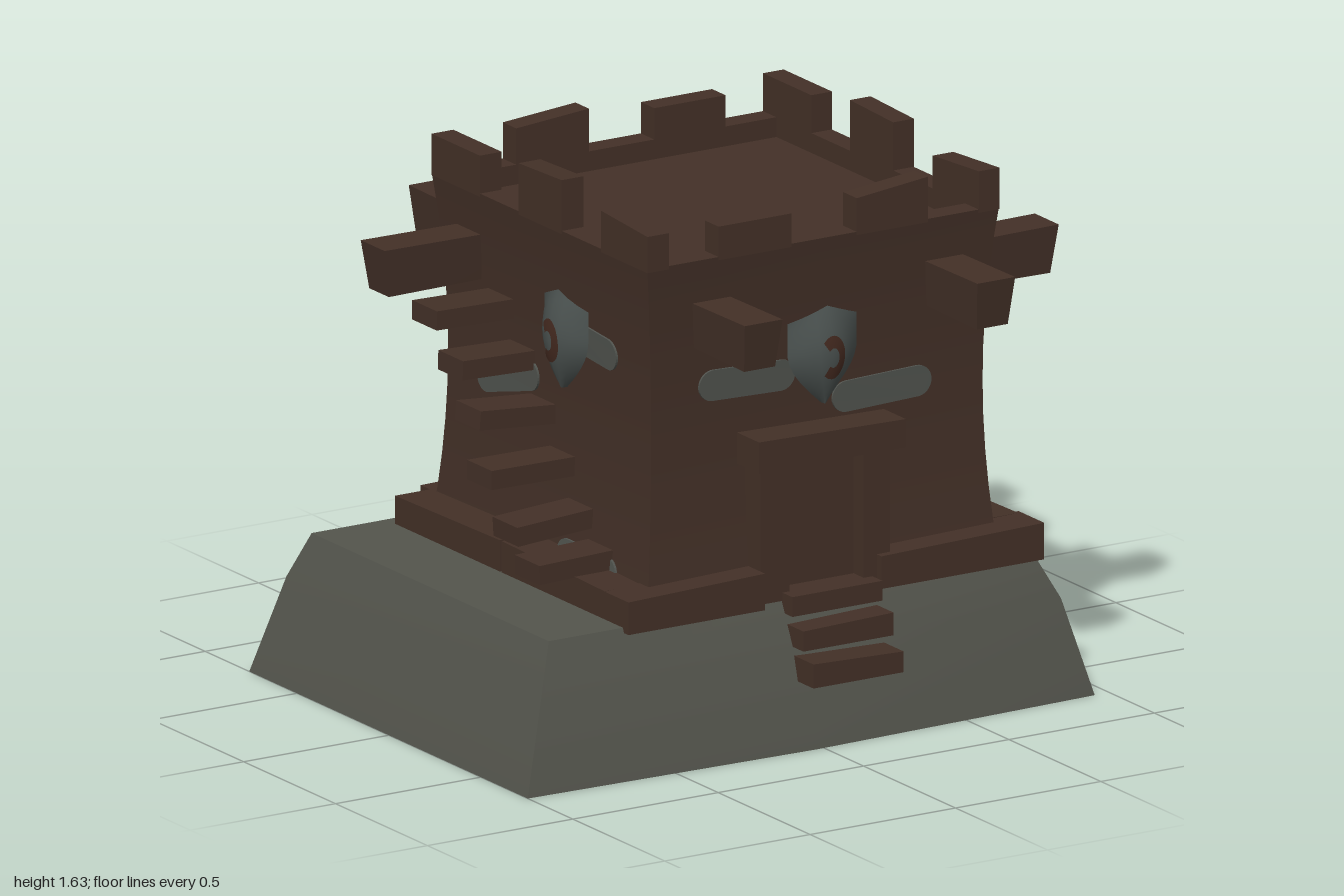
import * as THREE from 'three';
import { toCreasedNormals } from 'three/addons/utils/BufferGeometryUtils.js';

const mat = (name, color, side = THREE.FrontSide) => {
  const m = new THREE.MeshStandardMaterial({ color, side });
  m.name = name;
  return m;
};

export function createModel() {
  const model = new THREE.Group();
  model.name = 'castleTower';
  const stone = mat('stone', 0x53544c, THREE.DoubleSide);
  const wood = mat('brown', 0x433027);
  const plaster = mat('patchGrey', 0x50534e);
  const steel = mat('shieldGrey', 0x4b5250, THREE.DoubleSide);
  const rust = mat('emblemBrown', 0x43291f, THREE.DoubleSide);

  const add = (parent, name, geo, material) => {
    const m = new THREE.Mesh(geo, material);
    m.name = name;
    parent.add(m);
    return m;
  };

  // Move every vertex of a geometry by a rule
  const warp = (geo, rule) => {
    const p = geo.attributes.position;
    const v = new THREE.Vector3();
    for (let i = 0; i < p.count; i++) {
      rule(v.fromBufferAttribute(p, i));
      p.setXYZ(i, v.x, v.y, v.z);
    }
    geo.computeVertexNormals();
    return geo;
  };

  // Rectangular rings [y, x0, x1, z0, z1, bulge] joined into walls, last one capped
  const loft = (rings) => {
    const loops = rings.map(([y, x0, x1, z0, z1, b = 0]) => {
      const xm = (x0 + x1) / 2;
      return [[x0, y, z1], [xm, y, z1 + b], [x1, y, z1], [x1, y, z0], [xm, y, z0 - b], [x0, y, z0]];
    });
    const out = [];
    for (let i = 0; i + 1 < loops.length; i++) {
      for (let j = 0; j < 6; j++) {
        const k = (j + 1) % 6;
        const [a, b, c, d] = [loops[i][j], loops[i][k], loops[i + 1][k], loops[i + 1][j]];
        out.push(...a, ...b, ...c, ...a, ...c, ...d);
      }
    }
    const t = loops[loops.length - 1];
    for (let j = 1; j < 5; j++) out.push(...t[0], ...t[j], ...t[j + 1]);
    const g = new THREE.BufferGeometry();
    g.setAttribute('position', new THREE.Float32BufferAttribute(out, 3));
    return toCreasedNormals(g, 0.5);
  };

  // Box given by its limits, with a top that can slope along x or z
  const block = (name, [x0, x1], [y0, y1], [z0, z1], sx = 0, sz = 0) => {
    const g = new THREE.BoxGeometry(x1 - x0, y1 - y0, z1 - z0);
    warp(g, (v) => { if (v.y > 0) v.y += sx * Math.sign(v.x) + sz * Math.sign(v.z); });
    g.translate((x0 + x1) / 2, (y0 + y1) / 2, (z0 + z1) / 2);
    return add(model, name, toCreasedNormals(g, 0.3), wood);
  };

  // Hollow stone mound, open underneath
  add(model, 'stoneBase', loft([
    [0, -1, 0.95, -0.76, 0.755, 0.03],
    [0.29, -0.91, 0.875, -0.7, 0.69, 0.015],
    [0.425, -0.855, 0.81, -0.65, 0.64, 0],
  ]), stone);

  // Tower walls curve inwards at the waist; parapet and sunken roof floor
  const flare = (y) => 0.035 * ((y - 0.95) / 0.53) ** 2;
  const rings = [];
  for (let i = 0; i <= 10; i++) {
    const y = 0.42 + 0.106 * i;
    const f = flare(y);
    rings.push([y, -0.45 - f, 0.69 + f, -0.548 - f, 0.556 + f]);
  }
  rings.push([1.48, -0.41, 0.655, -0.51, 0.517], [1.42, -0.41, 0.655, -0.51, 0.517]);
  add(model, 'towerWalls', loft(rings), wood);

  // Battlements: two on the front and back, three on each side
  const low = 1.47;
  block('frontMerlon', [-0.24, 0.01], [low, 1.572], [0.517, 0.591]);
  block('frontMerlon', [0.235, 0.48], [low, 1.595], [0.517, 0.591], 0.013);
  block('backMerlon', [-0.24, 0.01], [low, 1.6], [-0.583, -0.51], 0.01);
  block('backMerlon', [0.235, 0.48], [low, 1.575], [-0.583, -0.51]);
  for (const [x0, x1, s] of [[-0.485, -0.41, 1], [0.655, 0.726, -1]]) {
    block('sideMerlon', [x0, x1], [low, 1.588], [0.34, 0.591], 0, -0.008 * s);
    block('sideMerlon', [x0, x1], [low, 1.63], [-0.11, 0.125], 0, 0.004 * s);
    block('sideMerlon', [x0, x1], [low, 1.595], [-0.583, -0.32]);
  }

  // Planks around the foot of the tower
  const foot = [0.41, 0.515];
  block('footPlank', [-0.6, -0.13], foot, [0.53, 0.67], 0.006);
  block('footPlank', [0.27, 0.83], foot, [0.53, 0.67], 0.006);
  block('footPlank', [0.67, 0.82], foot, [-0.075, 0.545], 0, 0.006);
  block('footPlank', [0.67, 0.828], foot, [-0.6, -0.085], 0, -0.008);
  block('footPlank', [-0.48, 0.12], foot, [-0.65, -0.5], 0.005);
  block('footPlank', [0.13, 0.69], foot, [-0.65, -0.5], -0.006);
  block('footPlank', [-0.6, -0.43], foot, [-0.6, -0.03], 0, 0.005);
  block('footPlank', [-0.6, -0.43], foot, [-0.02, 0.54], 0, -0.005);

  // Doorway
  block('doorPanel', [-0.04, 0.23], [0.42, 0.84], [0.5, 0.59]);
  block('doorPost', [-0.13, -0.03], [0.42, 0.84], [0.5, 0.645]);
  block('doorPost', [0.225, 0.315], [0.42, 0.84], [0.5, 0.645]);
  block('doorLintel', [-0.155, 0.35], [0.83, 0.92], [0.5, 0.677], -0.005);

  // Front steps
  block('frontStep', [-0.055, 0.255], [0.385, 0.445], [0.56, 0.7]);
  block('frontStep', [-0.055, 0.255], [0.295, 0.36], [0.62, 0.76], 0.004);
  block('frontStep', [-0.055, 0.255], [0.197, 0.265], [0.67, 0.815], -0.005);

  // Floating stair up the side wall: [y, outer x, z, tilt]
  const stairs = [
    [0.54, -0.72, 0.31, 0.03], [0.63, -0.72, 0.19, 0.06], [0.767, -0.74, 0.08, -0.01],
    [0.905, -0.71, -0.03, -0.08], [1.035, -0.7, -0.14, -0.03], [1.163, -0.72, -0.25, -0.02],
  ];
  for (const [y, x, z, tilt] of stairs) {
    const g = new THREE.BoxGeometry(-0.42 - x, 0.058, 0.135).rotateZ(tilt);
    add(model, 'stairTread', g, wood).position.set((x - 0.42) / 2, y, z);
  }

  // Square beam end sticking out of a wall, wider at the top
  const beam = (side, x, end) => {
    const g = new THREE.BoxGeometry(0.13, 0.138, end - 0.5).translate(0, 0, (end + 0.5) / 2);
    warp(g, (v) => {
      if (v.z > 0.6) v.y *= 1.06;
      if (v.y < 0) {
        v.x *= 0.82;
        if (v.z > 0.6) v.z -= 0.022;
      }
    });
    add(side, 'beamEnd', toCreasedNormals(g, 0.3), wood).position.set(x, 1.278, 0);
  };

  // Thin rounded patch that follows the wall
  const patch = (side, wall, x, y, length, tilt) => {
    const r = 0.047;
    const h = length / 2 - r;
    const s = new THREE.Shape();
    s.absarc(h, 0, r, -Math.PI / 2, Math.PI / 2);
    s.absarc(-h, 0, r, Math.PI / 2, Math.PI * 1.5);
    const g = new THREE.ExtrudeGeometry(s, { depth: 0.009, bevelEnabled: false, curveSegments: 8 });
    g.rotateZ(tilt).translate(x, y, 0);
    add(side, 'wallPatch', warp(g, (v) => { v.z += wall + flare(v.y) - 0.002; }), plaster);
  };

  // Domed shield with a crescent mark
  const halfWidth = (v) => 0.004 + 0.115 * Math.sin(Math.min(1, v / 0.65) * Math.PI / 2);
  const dome = (u, v) => 0.028 + 0.062 * (1 - u * u) * Math.sin(Math.PI * (0.1 + 0.75 * v));
  const shield = (side, x, y, z) => {
    const g = new THREE.PlaneGeometry(2, 1, 6, 10).translate(0, 0.5, 0);
    warp(g, (p) => {
      const [u, v] = [p.x, p.y];
      p.set(u * halfWidth(v), v * (0.3 - 0.045 * Math.abs(u)), dome(u, v));
    });
    const mark = new THREE.RingGeometry(0.026, 0.058, 16, 3, -Math.PI * 0.7, Math.PI * 1.45);
    mark.scale(0.75, 1.15, 1).translate(0, 0.15, 0);
    warp(mark, (p) => {
      const v = p.y / 0.3;
      p.z = dome(p.x / halfWidth(v), v) + 0.005;
    });
    const group = new THREE.Group();
    group.name = 'shield';
    group.position.set(x, y, z);
    add(group, 'shieldPlate', g, steel);
    add(group, 'shieldMark', mark, rust);
    side.add(group);
  };

  // Wall fittings, laid out facing +z and turned to each side
  const long = [[-0.245, 1.08, 0.33, -0.03], [0.22, 0.98, 0.34, 0.03]];
  const flank = [[-0.215, 0.95, 0.34, 0.26], [0.215, 1.165, 0.34, -0.08], [0.25, 0.5, 0.32, 0]];
  const sides = [
    { name: 'frontFittings', turn: 0, wall: 0.556, patches: long, beams: [[-0.375, 0.86], [0.425, 0.86]], shield: [0, 0.98] },
    { name: 'rightFittings', turn: 1, wall: 0.57, patches: flank, beams: [[-0.415, 0.88], [0.4, 0.88]], shield: [0.23, 0.98] },
    { name: 'backFittings', turn: 2, wall: 0.548, patches: long, beams: [[-0.425, 0.83], [0.44, 0.865]] },
    { name: 'leftFittings', turn: 3, wall: 0.57, patches: flank, beams: [[-0.405, 0.92]], shield: [0.14, 1.01] },
  ];
  for (const s of sides) {
    const side = new THREE.Group();
    side.name = s.name;
    side.position.x = 0.12;
    side.rotation.y = s.turn * Math.PI / 2;
    for (const p of s.patches) patch(side, s.wall, ...p);
    for (const b of s.beams) beam(side, ...b);
    if (s.shield) shield(side, ...s.shield, s.wall);
    model.add(side);
  }
  return model;
}
